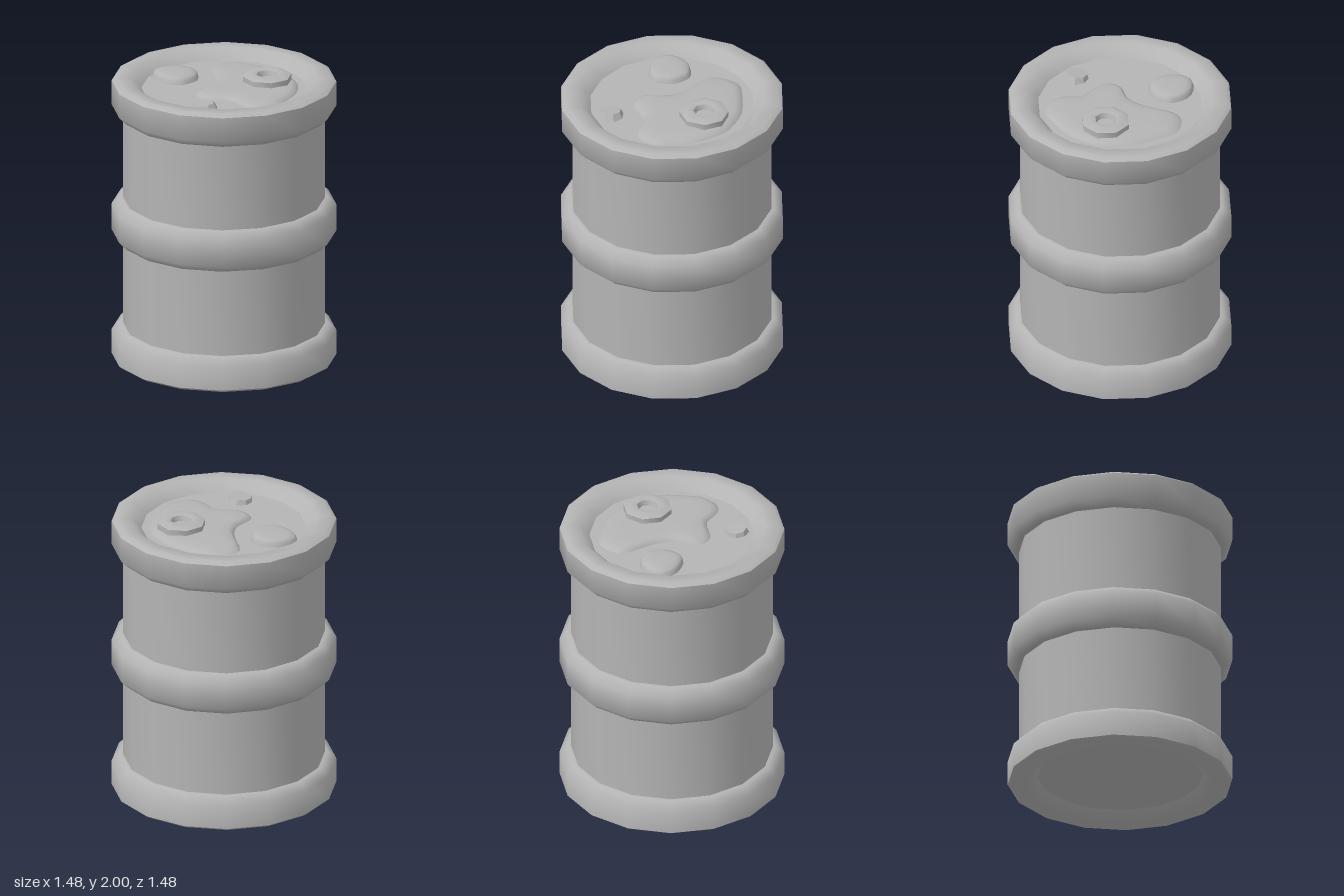
import * as THREE from 'three';
import { toCreasedNormals } from 'three/addons/utils/BufferGeometryUtils.js';

const SIDES = 16;
const HEIGHT = 1.98;
const RECESS = 0.07;
const LID_Y = HEIGHT - RECESS;

// Turned part; the profile runs from the lower inside, around the outside, to the top
function turned(profile, sides, crease) {
  const points = profile.map(([r, y]) => new THREE.Vector2(r, y));
  return toCreasedNormals(new THREE.LatheGeometry(points, sides, Math.PI / sides), crease);
}

// Low rounded blob: a closed outline [x, z] shrunk towards its centre as it rises
function blob(outline, [cx, cz], height, segments) {
  const curve = new THREE.CatmullRomCurve3(outline.map(([x, z]) => new THREE.Vector3(x, 0, z)), true);
  const rim = curve.getPoints(segments).slice(0, segments);
  const levels = [[1, 0], [0.95, 0.5], [0.86, 0.82], [0.65, 0.97], [0.35, 1]];
  const position = [];
  const index = [];
  levels.forEach(([s, h]) => {
    rim.forEach((p) => position.push(cx + (p.x - cx) * s, h * height, cz + (p.z - cz) * s));
  });
  const apex = levels.length * segments;
  position.push(cx, height, cz);
  for (let i = 0; i < segments; i++) {
    const j = (i + 1) % segments;
    for (let k = 0; k < levels.length - 1; k++) {
      const a = k * segments + i, b = k * segments + j;
      index.push(a, b + segments, b, a, a + segments, b + segments);
    }
    index.push(apex - segments + i, apex, apex - segments + j);
  }
  const geometry = new THREE.BufferGeometry();
  geometry.setAttribute('position', new THREE.Float32BufferAttribute(position, 3));
  geometry.setIndex(index);
  geometry.computeVertexNormals();
  return geometry;
}

export function createModel() {
  const group = new THREE.Group();
  const grey = new THREE.MeshStandardMaterial({ color: 0xb4b4b4 });
  grey.name = 'grey';

  const add = (name, geometry, x = 0, y = 0, z = 0) => {
    const mesh = new THREE.Mesh(geometry, grey);
    mesh.name = name;
    mesh.position.set(x, y, z);
    group.add(mesh);
    return mesh;
  };

  // Barrel wall
  add('body', turned([[0.678, 0.1], [0.678, HEIGHT - 0.1]], SIDES, 0.9));

  // End rims, mirrored top to bottom
  const rim = [[0.555, RECESS], [0.63, 0], [0.725, 0], [0.755, 0.02], [0.755, 0.19], [0.705, 0.24], [0.67, 0.24]];
  add('bottomRim', turned(rim, SIDES, 0.88));
  add('topRim', turned(rim.map(([r, y]) => [r, HEIGHT - y]).reverse(), SIDES, 0.88));

  // Middle hoop
  add('middleHoop', turned([
    [0.67, 0.85], [0.705, 0.85], [0.755, 0.9], [0.755, 1.085], [0.705, 1.135], [0.67, 1.135],
  ], SIDES, 0.88));

  // Recessed end discs
  const disc = new THREE.CircleGeometry(0.555, SIDES, Math.PI / SIDES);
  add('lid', disc, 0, LID_Y, 0).rotation.x = -Math.PI / 2;
  add('base', disc, 0, RECESS, 0).rotation.x = Math.PI / 2;

  // Large spill on the lid; outline runs clockwise seen from above
  const spill = [
    [0.13, -0.475], [0.2, -0.46], [0.3, -0.37], [0.42, -0.24], [0.48, -0.1], [0.5, 0], [0.48, 0.13],
    [0.43, 0.25], [0.34, 0.36], [0.28, 0.43], [0.18, 0.46], [0.1, 0.44], [0.05, 0.38], [0.01, 0.29],
    [-0.05, 0.25], [-0.15, 0.21], [-0.2, 0.16], [-0.21, 0.09], [-0.17, 0.04], [-0.09, -0.02],
    [-0.04, -0.13], [-0.03, -0.25], [-0.02, -0.4], [0.03, -0.45],
  ];
  add('spill', blob(spill, [0.18, 0.03], 0.035, 48), 0, LID_Y, 0);

  // Small drop
  const drop = [
    [-0.32, -0.41], [-0.22, -0.4], [-0.14, -0.33], [-0.125, -0.28], [-0.15, -0.18], [-0.21, -0.13],
    [-0.27, -0.105], [-0.34, -0.13], [-0.4, -0.2], [-0.43, -0.27], [-0.42, -0.36],
  ];
  add('drop', blob(drop, [-0.28, -0.27], 0.05, 22), 0, LID_Y, 0);

  // Filler ring with its hole
  const filler = turned([
    [0.165, 0], [0.165, 0.07], [0.11, 0.09], [0.072, 0.08], [0.06, 0.045], [0.001, 0.045],
  ], 8, 0.85);
  add('fillerRing', filler, 0.295, LID_Y, -0.003).rotation.y = Math.PI / 8;

  // Small faceted plug, slightly tilted
  const plug = toCreasedNormals(new THREE.CylinderGeometry(0.07, 0.092, 0.05, 8), 0.3);
  const plugMesh = add('plug', plug, -0.203, LID_Y + 0.012, 0.382);
  plugMesh.rotation.set(-0.1, 0.2, 0.1);

  return group;
}
